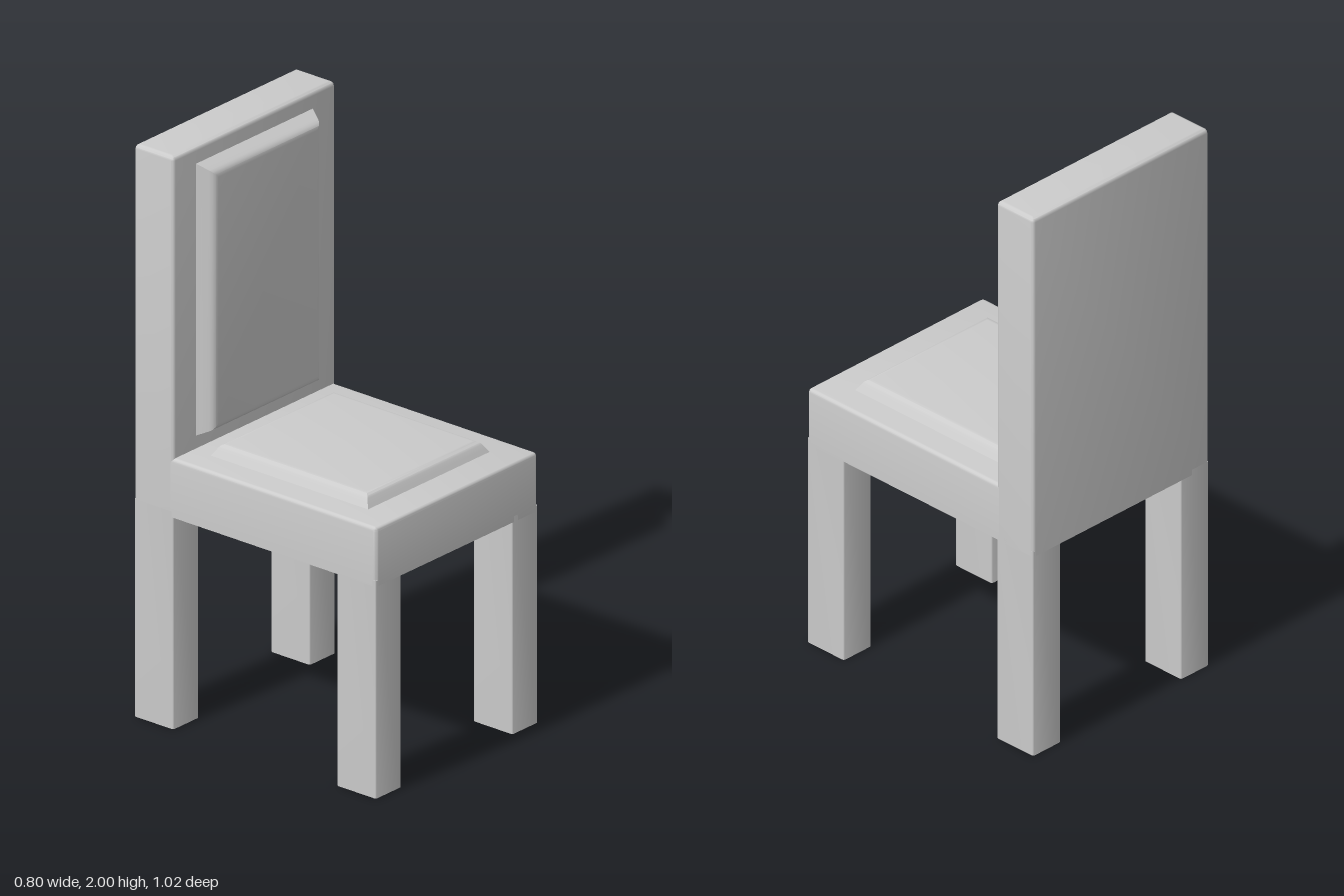
import * as THREE from 'three';
import { toCreasedNormals } from 'three/addons/utils/BufferGeometryUtils.js';

const material = new THREE.MeshStandardMaterial({ color: 0xcccccc });

// Block standing on y = 0: a rounded rectangle lofted through [inset, y] steps, capped at both ends.
function softBlock(width, depth, radius, profile) {
  const steps = radius > 0 ? 4 : 0;
  const count = 4 * (steps + 1);
  const positions = [];
  const index = [];
  for (const [inset, y] of profile) {
    const r = radius > 0 ? Math.max(radius - inset, 0.001) : 0;
    const cx = width / 2 - inset - r;
    const cz = depth / 2 - inset - r;
    for (let corner = 0; corner < 4; corner++) {
      const sx = corner === 0 || corner === 3 ? 1 : -1;
      const sz = corner < 2 ? 1 : -1;
      for (let s = 0; s <= steps; s++) {
        const a = (corner + (steps ? s / steps : 0)) * Math.PI / 2;
        positions.push(sx * cx + r * Math.cos(a), y, sz * cz + r * Math.sin(a));
      }
    }
  }
  const bottom = positions.length / 3;
  const top = bottom + 1;
  const last = (profile.length - 1) * count;
  positions.push(0, profile[0][1], 0, 0, profile[profile.length - 1][1], 0);
  for (let i = 0; i < count; i++) {
    const j = (i + 1) % count;
    for (let k = 0; k < last; k += count) {
      index.push(k + i, k + count + i, k + count + j, k + i, k + count + j, k + j);
    }
    index.push(bottom, i, j, top, last + j, last + i);
  }
  const geometry = new THREE.BufferGeometry();
  geometry.setAttribute('position', new THREE.Float32BufferAttribute(positions, 3));
  geometry.setIndex(index);
  return toCreasedNormals(geometry, 0.6);
}

// Straight sides with a quarter-round top edge
function roundedTop(height, r) {
  const profile = [[0, 0]];
  for (let i = 0; i <= 4; i++) {
    const a = i / 4 * Math.PI / 2;
    profile.push([r * (1 - Math.cos(a)), height - r + r * Math.sin(a)]);
  }
  return profile;
}

// Sloping cushion edge that rolls over into a flat face
function cushion(height, inset) {
  return [[0, 0], [0.2, 0.32], [0.42, 0.68], [0.55, 0.84], [0.75, 0.96], [1, 1]]
    .map(([i, h]) => [i * inset, h * height]);
}

export function createModel() {
  const chair = new THREE.Group();
  chair.name = 'chair';
  const add = (name, geometry, x, y, z) => {
    const mesh = new THREE.Mesh(geometry, material);
    mesh.name = name;
    mesh.position.set(x, y, z);
    chair.add(mesh);
  };

  // Seat slab, running slightly into the backrest
  add('seat', softBlock(0.8, 0.875, 0.014, roundedTop(0.205, 0.014)), 0, 0.74, 0.0705);

  // Tall backrest
  add('backrest', softBlock(0.8, 0.165, 0.012, roundedTop(1.26, 0.016)), 0, 0.74, -0.4255);

  // Four square legs
  const leg = softBlock(0.126, 0.165, 0.008, [[0, 0], [0, 0.76]]);
  for (const [side, x] of [['left', 0.337], ['right', -0.337]]) {
    add(side + 'FrontLeg', leg, x, 0, 0.4255);
    add(side + 'BackLeg', leg, x, 0, -0.4255);
  }

  // Raised pads on the seat and the backrest
  add('seatPad', softBlock(0.6, 0.66, 0, cushion(0.04, 0.04)), 0, 0.945, 0.06);
  const backPad = softBlock(0.576, 0.95, 0, cushion(0.057, 0.045)).rotateX(Math.PI / 2);
  add('backPad', backPad, 0, 1.465, -0.343);

  return chair;
}
